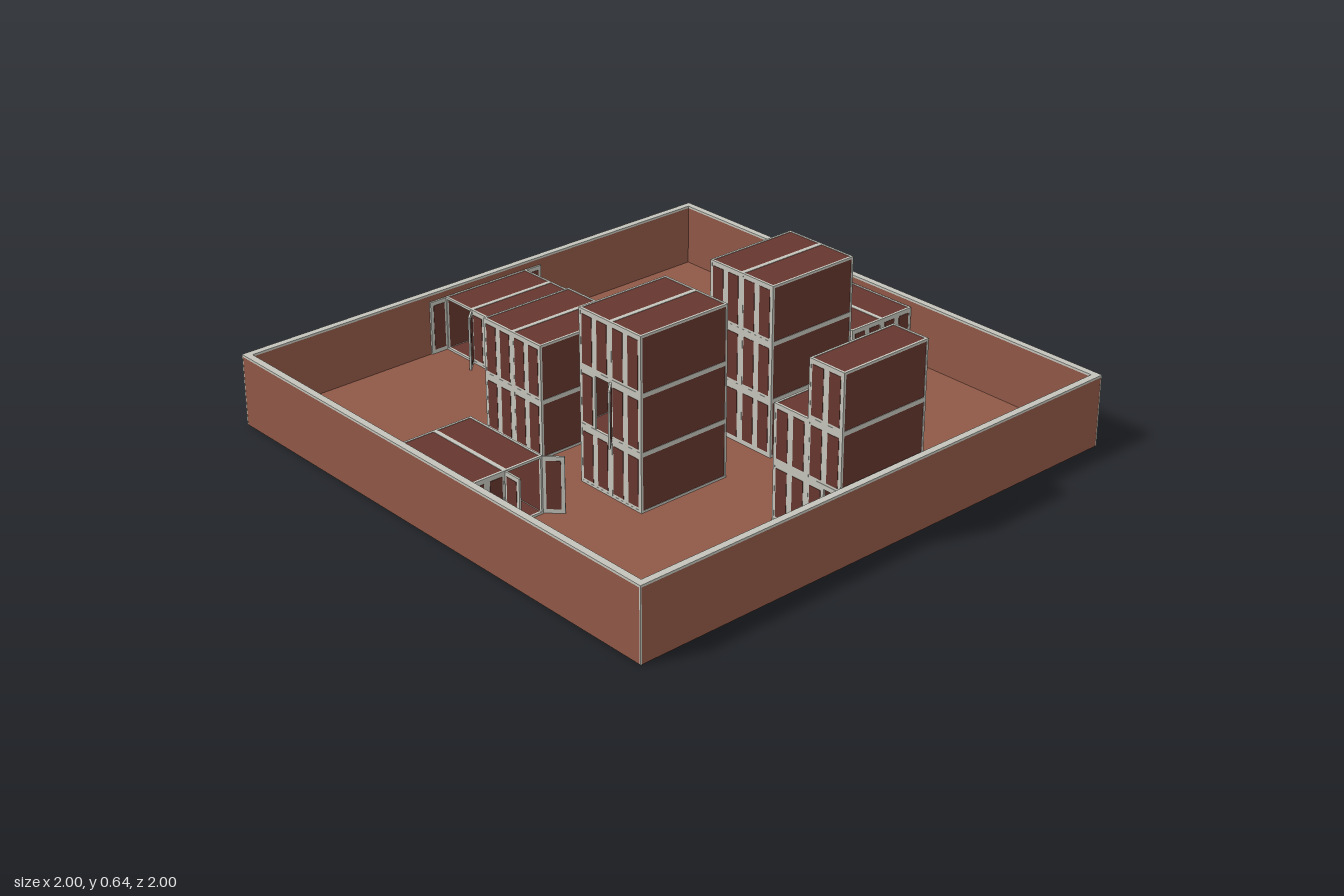
import * as THREE from 'three';

const mat = (name, color) => Object.assign(new THREE.MeshStandardMaterial({ color }), { name });

const L = 0.36, W = 0.145, H = 0.203, T = 0.008; // container size and frame bar thickness
const FLOOR = 0.03, WALL_TOP = 0.26;

export function createModel() {
  const brick = mat('brickBrown', 0x8f5847);
  const steel = mat('darkRedSteel', 0x66362e);
  const trim = mat('paleGreyTrim', 0xc3c3bb);
  const model = new THREE.Group();
  model.name = 'containerYard';

  const box = (parent, name, m, w, h, d, x, y, z) => {
    const mesh = new THREE.Mesh(new THREE.BoxGeometry(w, h, d), m);
    mesh.name = name;
    mesh.position.set(x, y, z);
    parent.add(mesh);
    return mesh;
  };

  // Door hinged at one corner of one end; angle 0 is closed
  const addDoor = (parent, end, side, degrees) => {
    const a = THREE.MathUtils.degToRad(degrees), w = W / 2;
    const door = new THREE.Group();
    door.name = degrees ? 'openDoor' : 'closedDoor';
    door.position.set(end * (L / 2 - 0.004), H / 2, side * (W / 2 - 0.001));
    door.rotation.y = Math.atan2(side * Math.cos(a), end * Math.sin(a));
    box(door, 'doorFrame', trim, w - 0.001, H - 0.004, 0.007, w / 2, 0, 0);
    box(door, 'doorPanel', steel, 0.047, H - 0.034, 0.0095, w / 2, 0, 0);
    parent.add(door);
  };

  // Hollow container along x; opened lists [end, side, degrees]
  const addContainer = (x, y, z, turned, opened = []) => {
    const c = new THREE.Group();
    c.name = 'container';
    c.position.set(x, y, z);
    if (turned) c.rotation.y = -Math.PI / 2;
    for (const s of [-1, 1]) {
      box(c, 'sidePanel', steel, L - T, H - T, 0.005, 0, H / 2, s * (W / 2 - 0.004));
      box(c, 'roofOrFloorPanel', steel, L - T, 0.005, W - T, 0, H / 2 + s * (H / 2 - 0.004), 0);
      for (const t of [-1, 1]) {
        const py = H / 2 + t * (H - T) / 2, pz = s * (W - T) / 2;
        box(c, 'longRail', trim, L, T, T, 0, py, pz);
        box(c, 'endRail', trim, T, T, W, s * (L - T) / 2, py, 0);
        box(c, 'cornerPost', trim, T, H, T, t * (L - T) / 2, H / 2, pz);
        const open = opened.find(o => o[0] === s && o[1] === t);
        addDoor(c, s, t, open ? open[2] : 0);
      }
    }
    model.add(c);
  };

  // Two rows side by side, each stacked to its own height
  // doors: { row, level, list }
  const addStack = (x, z, levels, turned = false, doors = null) => {
    levels.forEach((count, row) => {
      const off = (row - 0.5) * W;
      for (let i = 0; i < count; i++) {
        const list = doors && doors.row === row && doors.level === i ? doors.list : [];
        addContainer(x + (turned ? off : 0), FLOOR + i * H, z + (turned ? 0 : off), turned, list);
      }
    });
  };

  // Yard floor, perimeter walls, pale coping and corner strips
  box(model, 'yardFloor', brick, 1.99, FLOOR, 1.99, 0, FLOOR / 2, 0);
  const wt = 0.025, capH = 0.008;
  for (const s of [-1, 1]) {
    const p = s * (1 - wt / 2), h = WALL_TOP - capH;
    box(model, 'frontBackWall', brick, 2 - 0.002, h, wt - 0.001, 0, h / 2, p);
    box(model, 'sideWall', brick, wt - 0.001, h, 2 - 0.002, p, h / 2, 0);
    box(model, 'frontBackCoping', trim, 2, capH, wt, 0, WALL_TOP - capH / 2, p);
    box(model, 'sideCoping', trim, wt, capH, 2 - 2 * wt, p, WALL_TOP - capH / 2, 0);
    for (const t of [-1, 1])
      box(model, 'cornerStrip', trim, 0.005, h, 0.005, s * 0.9975, h / 2, t * 0.9975);
  }

  // Four central stacks
  addStack(-0.277, 0.24, [3, 3], false,
    { row: 0, level: 1, list: [[1, -1, 135], [1, 1, 135], [-1, 1, 135]] });
  addStack(0.277, 0.24, [3, 3]);
  addStack(-0.277, -0.245, [2, 2]);
  addStack(0.277, -0.245, [1, 1]);

  // Stacks against the four walls
  addStack(0, 0.826, [2, 3], false,
    { row: 1, level: 0, list: [[1, -1, 135], [1, 1, 90], [-1, 1, 90]] });
  addStack(0, -0.826, [1, 1], false,
    { row: 0, level: 0, list: [[-1, 1, 135], [1, -1, 90], [-1, -1, 90]] });
  addStack(-0.826, 0, [1, 1], true,
    { row: 1, level: 0, list: [[1, -1, 135], [1, 1, 90]] });
  addStack(0.826, 0, [1, 1], true,
    { row: 1, level: 0, list: [[-1, 1, 135], [-1, -1, 90]] });

  return model;
}
